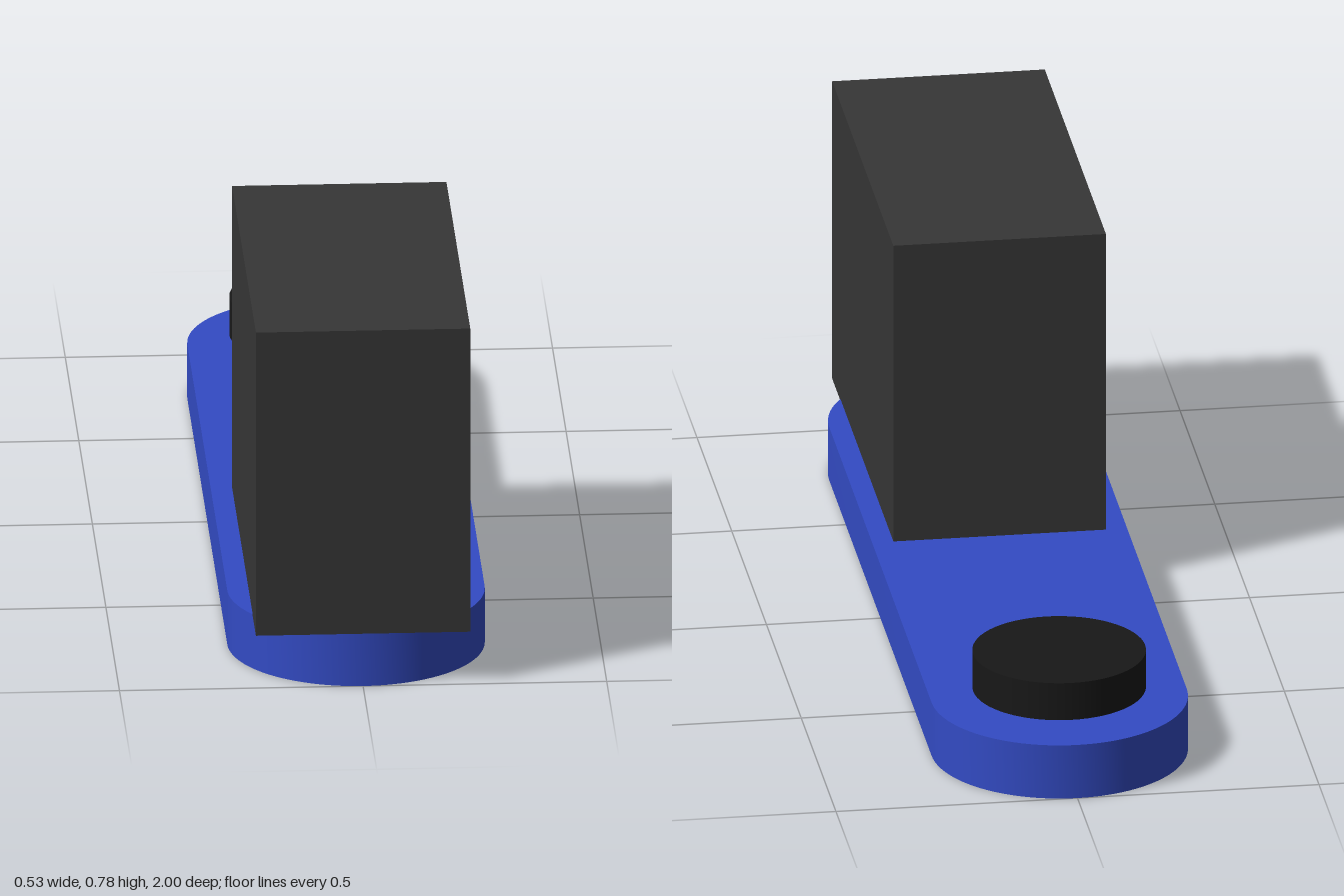
import * as THREE from 'three';
import { toCreasedNormals } from 'three/addons/utils/BufferGeometryUtils.js';

const BOARD_TOP = 0.118;
const END_RADIUS = 0.264;
const END_Z = 1 - END_RADIUS;

export function createModel() {
  const model = new THREE.Group();
  const add = (name, geometry, color, x, y, z) => {
    const mesh = new THREE.Mesh(geometry, new THREE.MeshStandardMaterial({ color }));
    mesh.name = name;
    mesh.position.set(x, y, z);
    model.add(mesh);
  };

  // Long base plate with two half-round ends
  const outline = new THREE.Shape();
  outline.absarc(0, END_Z, END_RADIUS, 0, Math.PI);
  outline.absarc(0, -END_Z, END_RADIUS, Math.PI, Math.PI * 2);
  outline.closePath();
  const plate = new THREE.ExtrudeGeometry(outline, {
    depth: BOARD_TOP, bevelEnabled: false, curveSegments: 32,
  });
  plate.rotateX(-Math.PI / 2);
  add('basePlate', toCreasedNormals(plate, 0.6), 0x334bc4, 0, 0, 0);

  // Tall housing at the front, set slightly into the plate
  add('housing', new THREE.BoxGeometry(0.44, 0.661, 0.88), 0x363636, 0, 0.4445, 0.56);

  // Round knob on a short stem at the back
  add('knobStem', new THREE.CylinderGeometry(0.065, 0.065, 0.05, 48), 0x181818, 0, 0.125, -END_Z);
  add('knob', new THREE.CylinderGeometry(0.178, 0.178, 0.082, 64), 0x181818, 0, 0.179, -END_Z);

  return model;
}
